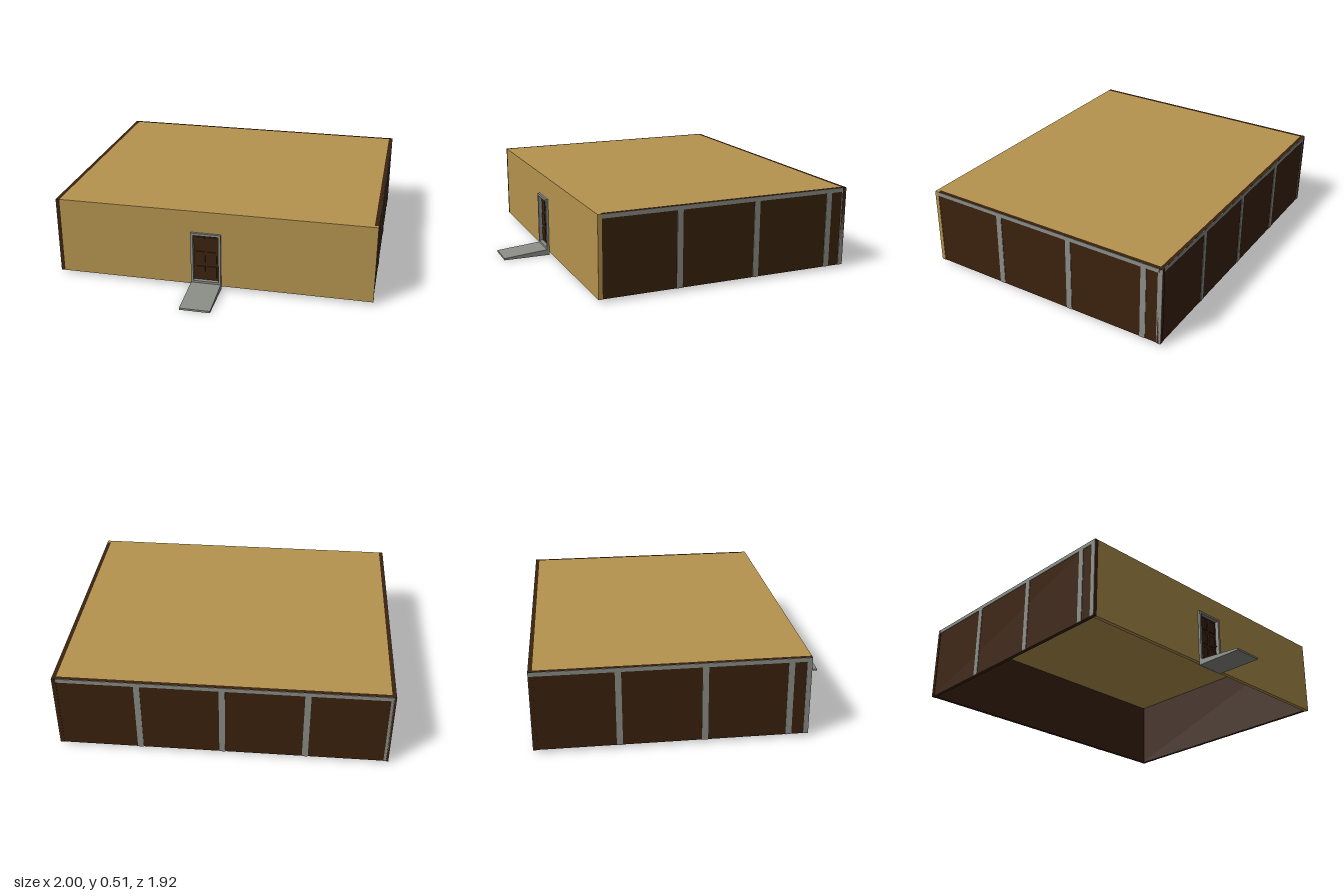
import * as THREE from 'three';

export function createModel() {
  const model = new THREE.Group();
  model.name = 'building';

  const material = (name, color) => {
    const m = new THREE.MeshStandardMaterial({ color });
    m.name = name;
    return m;
  };
  const tan = material('tan', 0xb5934e);
  const brown = material('darkBrown', 0x3b220e);
  const grey = material('grey', 0x8b8d86);

  // Box given by its two opposite corners
  const block = (parent, name, mat, [x0, y0, z0], [x1, y1, z1]) => {
    const mesh = new THREE.Mesh(new THREE.BoxGeometry(x1 - x0, y1 - y0, z1 - z0), mat);
    mesh.position.set((x0 + x1) / 2, (y0 + y1) / 2, (z0 + z1) / 2);
    mesh.name = name;
    parent.add(mesh);
    return mesh;
  };

  const bottom = 0.02, top = 0.515, front = 0.66, back = -0.96, thick = 0.025;
  const trim = 0.003;

  // Roof slab
  block(model, 'roof', tan, [-0.975, top - thick, back + thick], [0.975, top, front - thick]);

  // Panelled wall, running along its local +x with its outside facing local +z
  const panelWall = (name, length, x, z, turn) => {
    const wall = new THREE.Group();
    wall.name = name;
    block(wall, 'wallPanel', brown, [0, bottom, -thick], [length, top, -trim]);
    block(wall, 'topRail', grey, [0, top - 0.026, -trim], [length, top - 0.001, 0]);
    block(wall, 'endPost', grey, [length - 0.03, bottom, -trim], [length, top - 0.026, 0]);
    return { wall, x, z, turn };
  };
  const place = ({ wall, x, z, turn }, postPositions) => {
    for (const p of postPositions) {
      block(wall, 'post', grey, [p - 0.018, bottom, -trim], [p + 0.018, top - 0.026, 0]);
    }
    wall.position.set(x, 0, z);
    wall.rotation.y = turn;
    model.add(wall);
  };
  place(panelWall('rightWall', 1.595, 1, front - thick, Math.PI / 2), [0.475, 0.975, 1.475]);
  place(panelWall('backWall', 2, 1, back, Math.PI), [0.5, 1, 1.5]);
  place(panelWall('leftWall', 1.62, -1, back, -Math.PI / 2), [0.5, 1, 1.5]);

  // Rectangular outline, used for walls and frames with an opening
  const rect = (Type, x0, y0, x1, y1) => {
    const r = new Type();
    r.moveTo(x0, y0);
    r.lineTo(x1, y0);
    r.lineTo(x1, y1);
    r.lineTo(x0, y1);
    r.closePath();
    return r;
  };
  const framed = (name, mat, outer, inner, z, depth) => {
    const shape = rect(THREE.Shape, ...outer);
    shape.holes.push(rect(THREE.Path, ...inner));
    const mesh = new THREE.Mesh(
      new THREE.ExtrudeGeometry(shape, { depth, bevelEnabled: false }), mat);
    mesh.position.z = z;
    mesh.name = name;
    model.add(mesh);
  };

  // Front wall and door frame
  framed('frontWall', tan, [-0.975, bottom, 1, top], [-0.125, 0.025, 0.055, 0.37],
    front - thick, thick);
  framed('doorFrame', grey, [-0.13, bottom, 0.06, 0.375], [-0.115, 0.05, 0.045, 0.36],
    0.63, 0.045);

  // Door with six raised panels and a knob
  const door = new THREE.Group();
  door.name = 'door';
  block(door, 'doorLeaf', brown, [-0.115, 0.05, 0.635], [0.045, 0.36, 0.65]);
  for (const x of [-0.1, -0.027]) {
    for (const y of [0.07, 0.17, 0.27]) {
      block(door, 'doorPanel', brown, [x, y, 0.65], [x + 0.057, y + 0.075, 0.656]);
    }
  }
  const knob = new THREE.Mesh(new THREE.SphereGeometry(0.006, 12, 8), brown);
  knob.position.set(0.037, 0.185, 0.657);
  knob.name = 'doorKnob';
  door.add(knob);
  model.add(door);

  // Sloping ramp, its side profile extruded across the doorway
  const profile = new THREE.Shape();
  profile.moveTo(-front, 0);
  profile.lineTo(-front, 0.038);
  profile.lineTo(-0.96, 0.012);
  profile.lineTo(-0.96, 0);
  profile.closePath();
  const ramp = new THREE.Mesh(
    new THREE.ExtrudeGeometry(profile, { depth: 0.19, bevelEnabled: false }), grey);
  ramp.rotation.y = Math.PI / 2;
  ramp.position.x = -0.13;
  ramp.name = 'ramp';
  model.add(ramp);

  return model;
}
